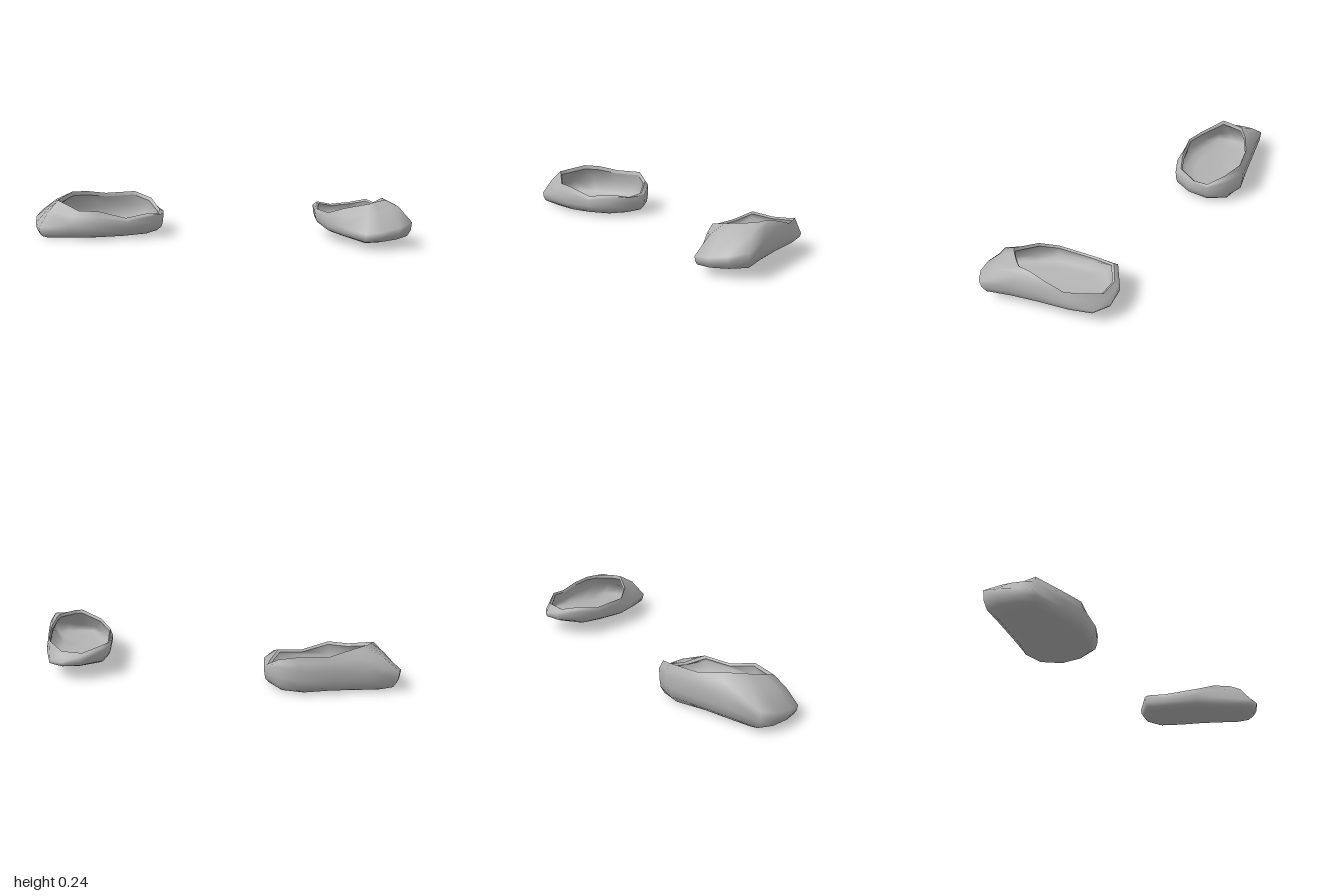
import * as THREE from 'three';

const grey = new THREE.MeshStandardMaterial({ color: 0xb4b4b4 });
grey.name = 'grey';

// Per column, from the toe corner round the heel and back:
// how far the sole edge tucks in, and how strongly the toe cap bulges
const SOLE = [0.72, 0.72, 0.72, 0.82, 0.92, 0.92, 0.89, 0.86, 0.82, 0.8, 0.82, 0.85, 0.82, 0.78];
const CAP = [1, 0.6, 0.3, 0, 0, 0, 0, 0, 0, 0, 0.4, 1, 1, 1];

// Skin a stack of closed rings; flip reverses the winding for the mirrored shoe
function skin(rings, flip, name) {
  const n = rings[0].length;
  const index = [];
  for (let r = 0; r < rings.length - 1; r++) {
    for (let i = 0; i < n; i++) {
      const j = (i + 1) % n;
      const a = r * n + i, b = r * n + j, c = b + n, d = a + n;
      index.push(...(flip ? [a, c, d, a, b, c] : [a, d, c, a, c, b]));
    }
  }
  const geo = new THREE.BufferGeometry();
  geo.setAttribute('position', new THREE.Float32BufferAttribute(rings.flat(2), 3));
  geo.setIndex(index);
  geo.computeVertexNormals();
  const mesh = new THREE.Mesh(geo, grey);
  mesh.name = name;
  return mesh;
}

function makeShoe({ name, center: [cx, cz], slope: [sx, sz, s0], bulge, widest, rim, flip }) {
  const base = (x, z) => sx * x + sz * z + s0;
  // Ring shrunk towards the centre, at a fraction of its height above the sole plane
  const inset = (ring, scale, rise, lift = 0) => ring.map(([x, y, z], i) => {
    const s = scale(SOLE[i]);
    const px = cx + (x - cx) * s, pz = cz + (z - cz) * s;
    const b = base(px, pz);
    return [px, b + (y - b) * rise + lift, pz];
  });
  // Ring halfway up the upper, rounded over the toe
  const cap = widest.map((p, i) => p.map((v, k) =>
    (v + rim[i][k]) / 2 + (k === 1 ? bulge * CAP[i] : 0)));
  const lip = inset(rim, () => 0.96, 0.9);

  const shoe = new THREE.Group();
  shoe.name = name;
  shoe.add(
    skin([
      inset(widest, () => 0, 0), inset(widest, (s) => s, 0),
      inset(widest, (s) => 0.7 + 0.3 * s, 0.22),
      inset(widest, (s) => 0.92 + 0.08 * s, 0.55), widest, cap, rim,
    ], flip, 'outerShell'),
    skin([rim, lip], flip, 'rimEdge'),
    // Hollow inside, reaching forward under the toe cap
    skin([
      lip, inset(widest, () => 0.92, 0.85), inset(widest, (s) => s * 0.96, 0.3, 0.015),
      inset(widest, (s) => s * 0.7, 0.05, 0.025), inset(widest, () => 0, 0, 0.025),
    ], flip, 'innerLining'),
  );
  return shoe;
}

const frontShoe = {
  name: 'frontShoe', center: [-0.66, 0.4], slope: [0.02, -0.02, 0.03], bulge: 0.014, flip: false,
  widest: [
    [-1, 0.125, 0.56], [-0.9, 0.15, 0.41], [-0.79, 0.15, 0.25], [-0.68, 0.16, 0.09],
    [-0.57, 0.155, 0.045], [-0.44, 0.12, 0.07], [-0.35, 0.12, 0.16], [-0.31, 0.125, 0.28],
    [-0.37, 0.1, 0.43], [-0.48, 0.1, 0.57], [-0.62, 0.09, 0.665], [-0.78, 0.065, 0.755],
    [-0.86, 0.08, 0.715], [-0.95, 0.1, 0.64],
  ],
  rim: [
    [-0.815, 0.245, 0.47], [-0.8, 0.24, 0.37], [-0.76, 0.22, 0.25], [-0.66, 0.225, 0.1],
    [-0.55, 0.19, 0.065], [-0.45, 0.13, 0.09], [-0.39, 0.115, 0.17], [-0.345, 0.14, 0.28],
    [-0.4, 0.12, 0.42], [-0.49, 0.165, 0.55], [-0.59, 0.165, 0.61], [-0.755, 0.215, 0.63],
    [-0.775, 0.225, 0.58], [-0.8, 0.235, 0.52],
  ],
};

const backShoe = {
  name: 'backShoe', center: [0.63, -0.46], slope: [-0.04, -0.05, 0.056], bulge: 0.026, flip: true,
  widest: [
    [1, 0.14, -0.41], [0.87, 0.165, -0.5], [0.73, 0.15, -0.6], [0.58, 0.12, -0.705],
    [0.47, 0.1, -0.76], [0.37, 0.11, -0.74], [0.3, 0.13, -0.66], [0.27, 0.16, -0.51],
    [0.365, 0.13, -0.4], [0.53, 0.12, -0.265], [0.68, 0.1, -0.215], [0.86, 0.09, -0.16],
    [0.93, 0.1, -0.22], [0.98, 0.12, -0.31],
  ],
  rim: [
    [0.79, 0.24, -0.47], [0.74, 0.24, -0.53], [0.68, 0.22, -0.6], [0.6, 0.187, -0.67],
    [0.52, 0.195, -0.715], [0.4, 0.165, -0.715], [0.32, 0.155, -0.63], [0.295, 0.18, -0.52],
    [0.37, 0.155, -0.41], [0.54, 0.165, -0.275], [0.65, 0.2, -0.265], [0.79, 0.235, -0.31],
    [0.795, 0.24, -0.36], [0.795, 0.24, -0.42],
  ],
};

export function createModel() {
  const pair = new THREE.Group();
  pair.name = 'pairOfShoes';
  pair.add(makeShoe(frontShoe), makeShoe(backShoe));
  return pair;
}
